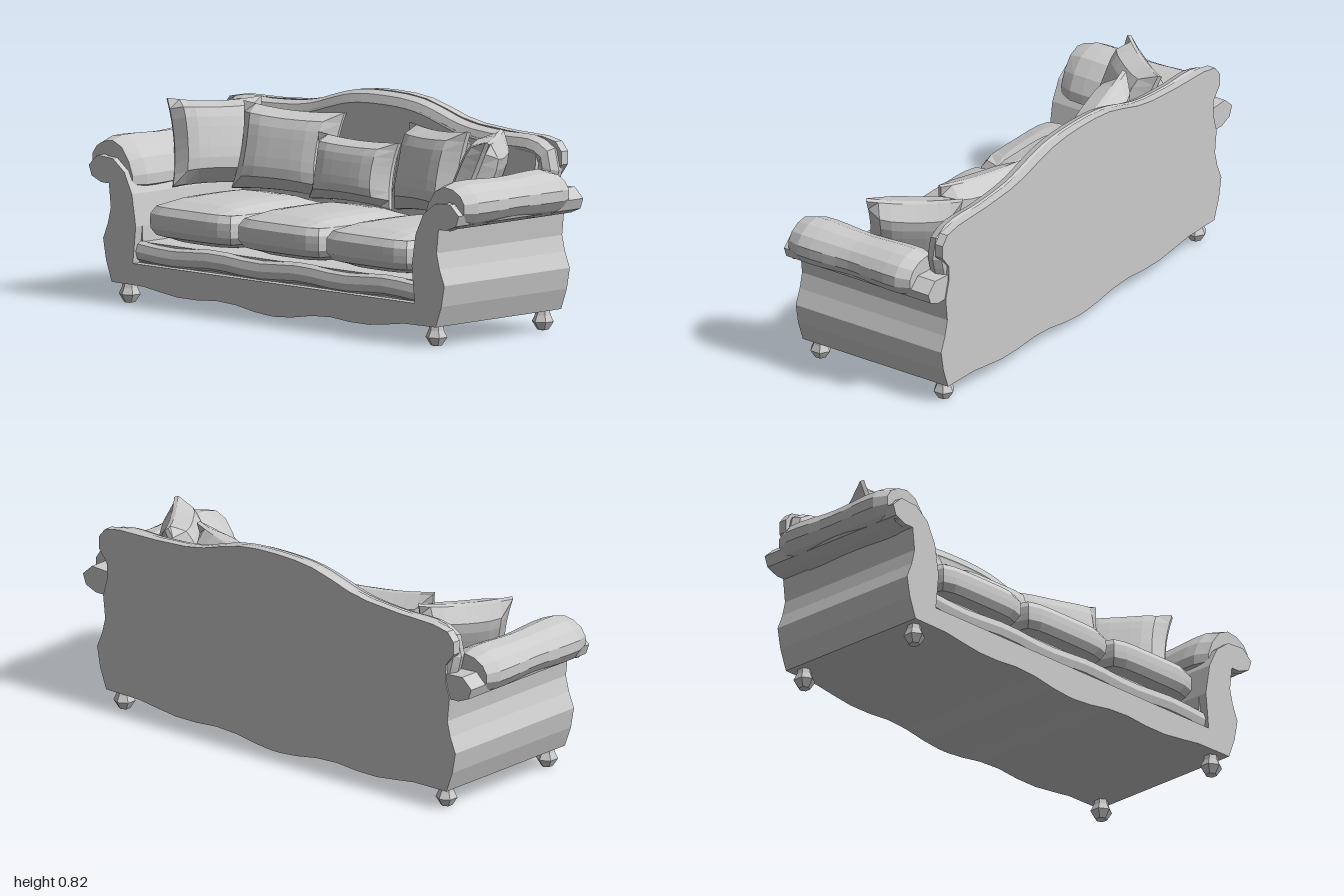
import * as THREE from 'three';

const fabric = new THREE.MeshStandardMaterial({ color: 0xcccccc, flatShading: true, side: THREE.DoubleSide });

export function createModel() {
  const sofa = new THREE.Group();

  const add = (name, geometry, x = 0, y = 0, z = 0) => {
    const mesh = new THREE.Mesh(geometry, fabric);
    mesh.name = name;
    mesh.position.set(x, y, z);
    sofa.add(mesh);
    return mesh;
  };

  // Closed outline in x/y, extruded from z0 to z1
  const slab = (name, points, z0, z1) => {
    const shape = new THREE.Shape(points.map(([x, y]) => new THREE.Vector2(x, y)));
    add(name, new THREE.ExtrudeGeometry(shape, { depth: z1 - z0, bevelEnabled: false }), 0, 0, z0);
  };
  // Completes a right-hand half outline with its mirror image
  const mirrored = (half) => [...half, ...half.map(([x, y]) => [-x, y]).reverse()];
  // Moves every vertex of a geometry by a rule
  const reshape = (geometry, rule) => {
    const p = geometry.attributes.position;
    for (let i = 0; i < p.count; i++) p.setXYZ(i, ...rule(p.getX(i), p.getY(i), p.getZ(i)));
    geometry.computeVertexNormals();
    return geometry;
  };

  // Outlines shared by the base, front frame and back
  const apron = [[0.02, 0.035], [0.1, 0.042], [0.2, 0.058], [0.3, 0.063], [0.4, 0.055], [0.5, 0.055], [0.6, 0.067], [0.68, 0.078]];
  const side = [[0.845, 0.08], [0.875, 0.16], [0.89, 0.24], [0.865, 0.3], [0.85, 0.36], [0.86, 0.45]];
  const scroll = [[0.9, 0.45], [0.95, 0.47], [0.965, 0.51], [0.92, 0.55], [0.84, 0.545], [0.78, 0.5], [0.74, 0.42], [0.72, 0.3]];
  const crest = [[0.88, 0.63], [0.88, 0.68], [0.85, 0.715], [0.78, 0.728], [0.6, 0.732], [0.45, 0.742], [0.36, 0.758],
    [0.27, 0.785], [0.18, 0.808], [0.09, 0.818], [0.01, 0.82]];

  // Base, front frame and back
  slab('base', mirrored([...apron, ...side.slice(0, 3), [0.74, 0.24]]), -0.33, 0.3);
  slab('frontFrame', mirrored([...apron, ...side, ...scroll, [0.735, 0.16]]), 0.3, 0.335);
  slab('backPanel', mirrored([...apron, ...side, [0.84, 0.52], [0.84, 0.58], ...crest]), -0.335, -0.3);
  slab('backUpholstery', mirrored([[0.78, 0.24], [0.8, 0.67], [0.6, 0.69], [0.4, 0.71], [0.2, 0.765], [0.02, 0.78]]), -0.31, -0.245);

  // Padded roll that follows the crest of the back
  const rollPath = mirrored([[0.8, 0.5], [0.83, 0.6], [0.835, 0.65], ...crest.slice(3).map(([x, y]) => [x, y - 0.045])])
    .map(([x, y]) => new THREE.Vector3(x, y, -0.288));
  add('backRoll', new THREE.TubeGeometry(new THREE.CatmullRomCurve3(rollPath), 48, 0.045, 8));

  // Rounded front rail with a loose fabric fold
  const rail = new THREE.CylinderGeometry(0.04, 0.04, 1.46, 8, 16).rotateZ(Math.PI / 2);
  add('frontRail', reshape(rail, (x, y, z) => [x, y + 0.006 * Math.sin(x * 14), z * 0.7]), 0, 0.2, 0.297);

  // Arms: wall, rolled pad and scroll end
  for (const s of [1, -1]) {
    const wall = [[0.71, 0.09], ...side, ...scroll].map(([x, y]) => [s * x, y]);
    slab('armWall', wall, -0.33, 0.3);

    const pad = new THREE.CylinderGeometry(1, 1, 0.56, 14, 10).rotateX(Math.PI / 2);
    reshape(pad, (x, y, z) => {
      const end = Math.abs(z) > 0.27 ? 0.86 : 1;
      const wave = end * (1 + 0.045 * Math.cos((z - 0.18) * 17));
      const droop = x * s < 0 ? 0.07 * x * x : 0; // inner edge slopes to the seat
      return [x * 0.125 * wave, y * 0.086 * wave - droop, z];
    });
    add('armPad', pad, s * 0.865, 0.535, 0.03);

    const button = new THREE.CylinderGeometry(0.045, 0.055, 0.02, 10).rotateX(Math.PI / 2);
    add('armScroll', button, s * 0.9, 0.5, 0.325);
  }

  // Seat cushions: crowned, with soft corners
  const seatCushion = (x, w) => {
    const g = reshape(new THREE.BoxGeometry(2, 2, 2, 8, 4, 8), (u, v, t) => {
      const puff = (1 - u ** 4) * (1 - t ** 4);
      const tuck = 1 - 0.07 * v ** 4;
      return [
        u * w / 2 * tuck * (1 - 0.1 * t ** 6),
        v * (0.055 + 0.035 * puff),
        t * 0.28 * tuck * (1 - 0.07 * u ** 6),
      ];
    });
    add('seatCushion', g, x, 0.327, 0.05);
  };
  for (const x of [-0.46, 0, 0.46]) seatCushion(x, 0.465);

  // Throw pillows: puffed middle, pinched edges and pointed corners
  const pillow = (name, w, h, d, pos, yaw, lean, tilt = 0) => {
    const g = reshape(new THREE.BoxGeometry(2, 2, 2, 8, 8, 2), (u, v, t) => {
      const puff = Math.sqrt((1 - u ** 4) * (1 - v ** 4));
      return [
        u * w / 2 * (1 - 0.09 * (1 - v * v)),
        v * h / 2 * (1 - 0.09 * (1 - u * u)),
        t * (0.008 + d / 2 * puff),
      ];
    });
    const mesh = add(name, g, ...pos);
    mesh.rotation.set(-lean, yaw, tilt, 'YXZ');
  };
  pillow('centrePillow', 0.42, 0.25, 0.14, [0, 0.54, -0.1], 0, 0.2);
  for (const s of [1, -1]) {
    pillow('backPillow', 0.43, 0.33, 0.14, [s * 0.375, 0.575, -0.13], -s * 0.28, 0.22, s * 0.04);
    pillow('sidePillow', 0.36, 0.34, 0.14, [s * 0.68, 0.585, -0.06], -s * 0.95, 0.38);
  }

  // Faceted bun feet
  const footProfile = [[0, 0], [0.022, 0.004], [0.042, 0.035], [0.03, 0.06], [0.024, 0.09]].map(([r, y]) => new THREE.Vector2(r, y));
  for (const x of [-0.8, 0.8]) for (const z of [-0.283, 0.285]) {
    add('foot', new THREE.LatheGeometry(footProfile, 6), x, 0, z);
  }

  return sofa;
}
